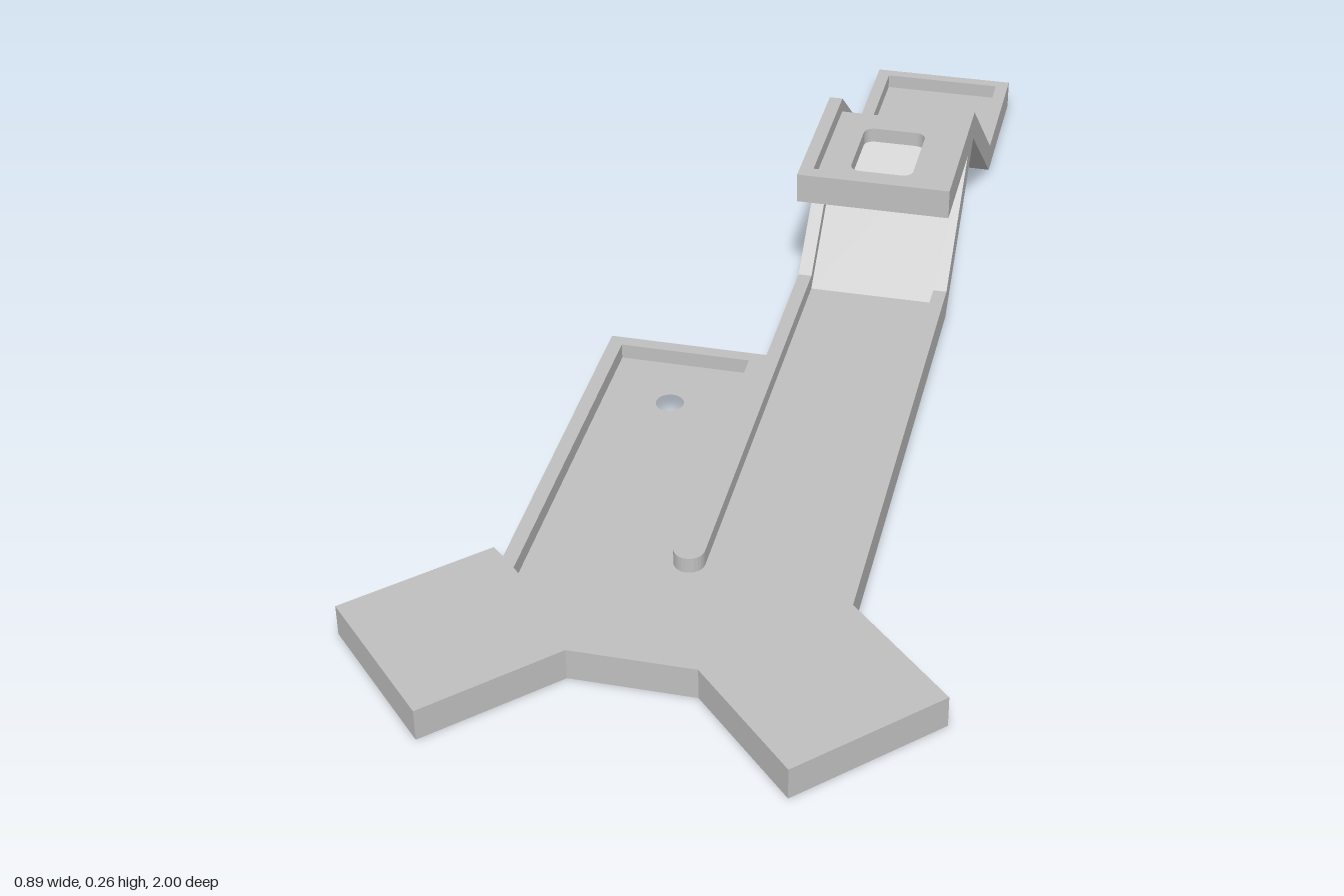
import * as THREE from 'three';

const T = 0.052, FLOOR = 0.026, RISE = 0.211; // rim height, floor thickness, platform height
const X0 = 0.02, X1 = 0.28, IN0 = 0.043, IN1 = 0.257; // lane outer and inner sides
const RAMP = -0.212, APEX = -0.475, FOOT = -0.738, END = -1;

export function createModel() {
  const model = new THREE.Group();
  const grey = new THREE.MeshStandardMaterial({ color: 0xc0c0c0 });
  grey.name = 'light grey';

  const add = (name, geometry) => {
    const mesh = new THREE.Mesh(geometry, grey);
    mesh.name = name;
    model.add(mesh);
  };

  // Horizontal slab from [x, z] corners
  const slab = (name, points, y0, y1, hole) => {
    const shape = new THREE.Shape(points.map(([x, z]) => new THREE.Vector2(x, -z)));
    if (hole) shape.holes.push(hole);
    const g = new THREE.ExtrudeGeometry(shape, { depth: y1 - y0, bevelEnabled: false, curveSegments: 16 });
    g.rotateX(-Math.PI / 2).translate(0, y0, 0);
    add(name, g);
  };

  // Strip of constant vertical thickness following a [z, y] path
  const ribbon = (name, path, height, x0, x1) => {
    const lower = path.map(([z, y]) => new THREE.Vector2(-z, y));
    const upper = path.map(([z, y]) => new THREE.Vector2(-z, y + height)).reverse();
    const g = new THREE.ExtrudeGeometry(new THREE.Shape([...lower, ...upper]), { depth: x1 - x0, bevelEnabled: false });
    g.rotateY(Math.PI / 2).translate(x0, 0, 0);
    add(name, g);
  };

  // Base plate outline with two angled feet
  const outline = [
    [X1, RAMP], [X1, 0.645], [0.446, 0.81], [0.26, 0.997], [0.096, 0.83],
    [-0.096, 0.83], [-0.263, 0.997], [-0.446, 0.81], [-0.265, 0.63],
    [-0.245, 0.648], [-0.245, 0.045], [X0, 0.045], [X0, RAMP],
  ];
  const pin = new THREE.Path().absarc(-0.112, -0.177, 0.023, 0, Math.PI * 2, true);
  slab('baseFloor', outline, 0, FLOOR, pin);

  // Raised rim, including the round-ended divider between the two lanes
  const divider = [];
  const r = (IN0 + 0.005) / 2;
  for (let i = 0; i <= 12; i++) {
    const a = (i / 12) * Math.PI;
    divider.push([IN0 - r + r * Math.cos(a), 0.571 + r * Math.sin(a)]);
  }
  slab('baseRimAndDivider', [
    ...outline, [IN0, RAMP], ...divider, [-0.005, 0.067], [-0.222, 0.067],
    [-0.222, 0.67], [-0.088, 0.805], [0.086, 0.805], [IN1, 0.635], [IN1, RAMP],
  ], FLOOR, T);

  // Rising ramp, and the descending ramp with its end tray
  const up = [[RAMP, 0], [APEX, RISE]];
  const down = [[APEX, RISE], [FOOT, 0], [END, 0]];
  ribbon('upRampFloor', up, FLOOR, IN0, IN1);
  ribbon('downRampFloor', down, FLOOR, IN0, IN1);
  for (const [side, a, b] of [['right', X0, IN0], ['left', IN1, X1]]) {
    ribbon(side + 'UpRampWall', up, T, a, b);
    ribbon(side + 'PlatformAndDownRampWall', [[-0.192, RISE], ...down], T, a, b);
  }

  // Platform floor with a rounded window
  const [hx0, hx1, hy0, hy1, c] = [0.095, 0.203, 0.272, 0.425, 0.018];
  const opening = new THREE.Path();
  opening.absarc(hx1 - c, hy1 - c, c, 0, Math.PI / 2);
  opening.absarc(hx0 + c, hy1 - c, c, Math.PI / 2, Math.PI);
  opening.absarc(hx0 + c, hy0 + c, c, Math.PI, Math.PI * 1.5);
  opening.absarc(hx1 - c, hy0 + c, c, Math.PI * 1.5, Math.PI * 2);
  slab('platformFloor', [[IN0, -0.192], [IN1, -0.192], [IN1, APEX], [IN0, APEX]],
    RISE, RISE + FLOOR, opening);

  // Closing rims across the ends of the lane
  const endRim = (name, z0, z1, y) =>
    ribbon(name, [[z0, y], [z1, y]], T, IN0, IN1);
  endRim('platformEndRim', -0.192, -0.218, RISE);
  endRim('trayEndRim', -0.979, END, 0);

  return model;
}
